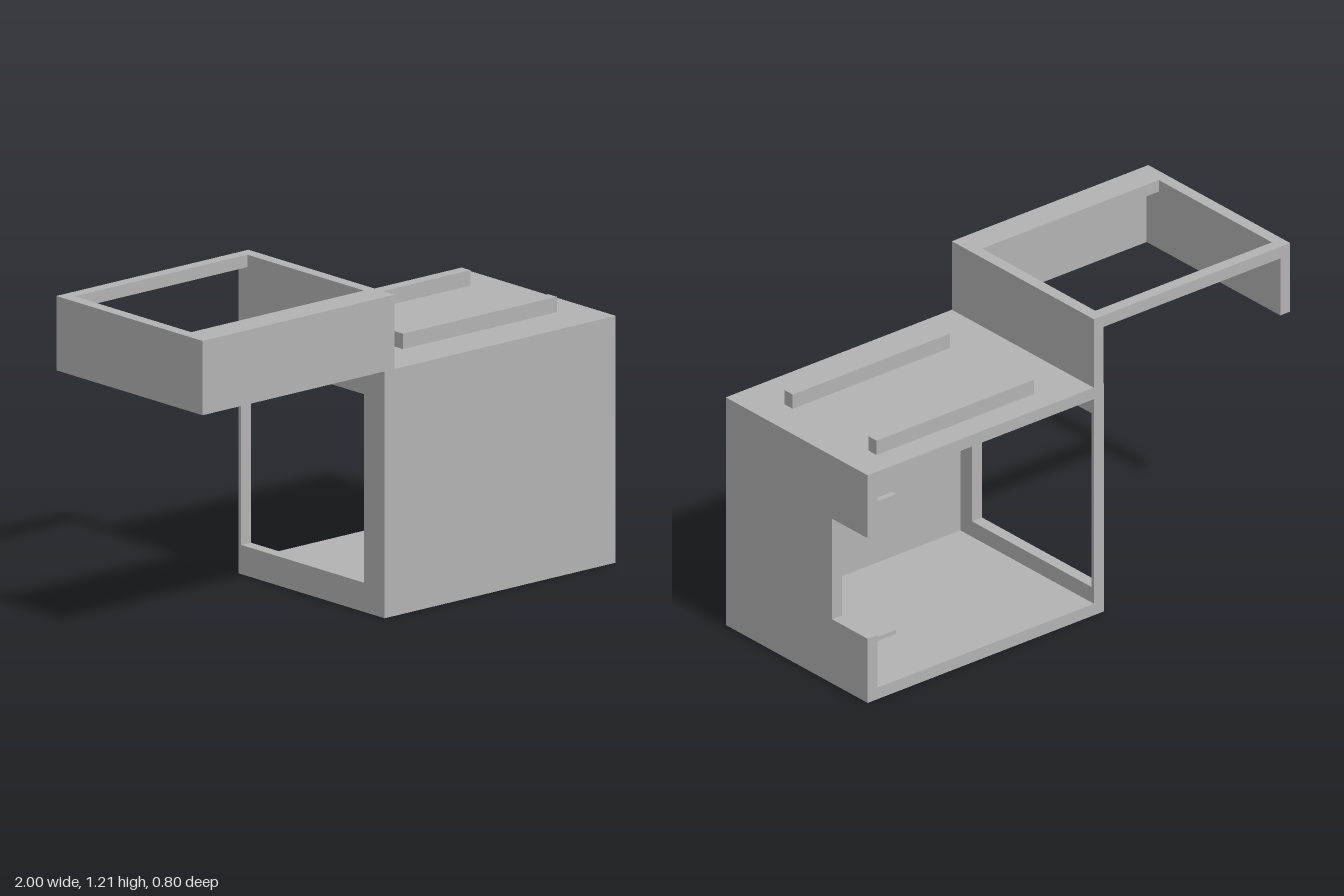
import * as THREE from 'three';

const T = 0.047; // wall thickness
const grey = new THREE.MeshStandardMaterial({ color: 0xb2b2b2 });
grey.name = 'grey';

// Box given by its ranges on each axis
function block(name, [x0, x1], [y0, y1], [z0, z1]) {
  const g = new THREE.BoxGeometry(x1 - x0, y1 - y0, z1 - z0);
  g.translate((x0 + x1) / 2, (y0 + y1) / 2, (z0 + z1) / 2);
  const mesh = new THREE.Mesh(g, grey);
  mesh.name = name;
  return mesh;
}

// Panel of thickness T cut from an outline, with an optional hole
function panel(name, outline, hole) {
  const points = (list) => list.map(([u, v]) => new THREE.Vector2(u, v));
  const shape = new THREE.Shape(points(outline));
  if (hole) shape.holes.push(new THREE.Path(points(hole)));
  const mesh = new THREE.Mesh(new THREE.ExtrudeGeometry(shape, { depth: T, bevelEnabled: false }), grey);
  mesh.name = name;
  return mesh;
}

const rect = (a, b, c, d) => [[a, c], [b, c], [b, d], [a, d]];

function createCabinet() {
  const cabinet = new THREE.Group();
  cabinet.name = 'cabinet';
  const x0 = -0.118, x1 = 1, h = 0.93, back = -0.4, front = 0.4;
  const inner = [T, h - T];
  cabinet.add(
    block('floor', [x0, x1], [0, T], [back, front]),
    block('roof', [x0, x1], [h - T, h], [back, front]),
    block('frontWall', [x0, x1], inner, [front - T, front]),
  );

  // Side walls are drawn with u = -z and v = y, then turned to face +x
  const leftWall = panel('notchedLeftWall', [
    [-front + T, T], [0.4, T], [0.4, 0.262], [0.2, 0.262],
    [0.2, 0.673], [0.4, 0.673], [0.4, h - T], [-front + T, h - T],
  ]);
  const rightWall = panel('framedRightWall', rect(-front + T, 0.4, T, h - T),
    rect(-0.287, 0.385, 0.11, 0.82).reverse());
  leftWall.position.x = x1 - T;
  rightWall.position.x = x0;
  for (const wall of [leftWall, rightWall]) {
    wall.rotation.y = Math.PI / 2;
    cabinet.add(wall);
  }

  // Rails on the roof
  for (const z of [-0.298, 0.175]) {
    cabinet.add(block('roofRail', [0.128, 0.872], [h, h + 0.058], [z, z + 0.047]));
  }
  // Pegs above and below the notch, and the rib on the front wall
  for (const y of [0.19, 0.745]) {
    cabinet.add(block('notchPeg', [0.796, x1 - T], [y - 0.008, y + 0.008], [-0.318, -0.295]));
  }
  cabinet.add(block('innerRib', [0.748, 0.796], [0.243, 0.69], [0.272, front - T]));
  return cabinet;
}

function createHood() {
  const hood = new THREE.Group();
  hood.name = 'hood';
  const x0 = -1, x1 = -0.07, y0 = 0.93, y1 = 1.21;
  const sides = [y0, y1 - T];
  // Top frame, drawn with v = -z and laid flat
  const top = panel('topFrame', rect(x0, x1, -0.4, 0.4),
    rect(x0 + T, x1 - T, -0.285, 0.353).reverse());
  top.rotation.x = -Math.PI / 2;
  top.position.y = y1 - T;
  hood.add(
    top,
    block('hoodFront', [x0, x1], sides, [0.4 - T, 0.4]),
    block('hoodRightSide', [x0, x0 + T], sides, [-0.4, 0.4 - T]),
    block('hoodLeftSide', [x1 - T, x1], sides, [-0.4, 0.4 - T]),
  );
  return hood;
}

export function createModel() {
  const model = new THREE.Group();
  model.name = 'cabinetWithHood';
  model.add(createCabinet(), createHood());
  return model;
}
